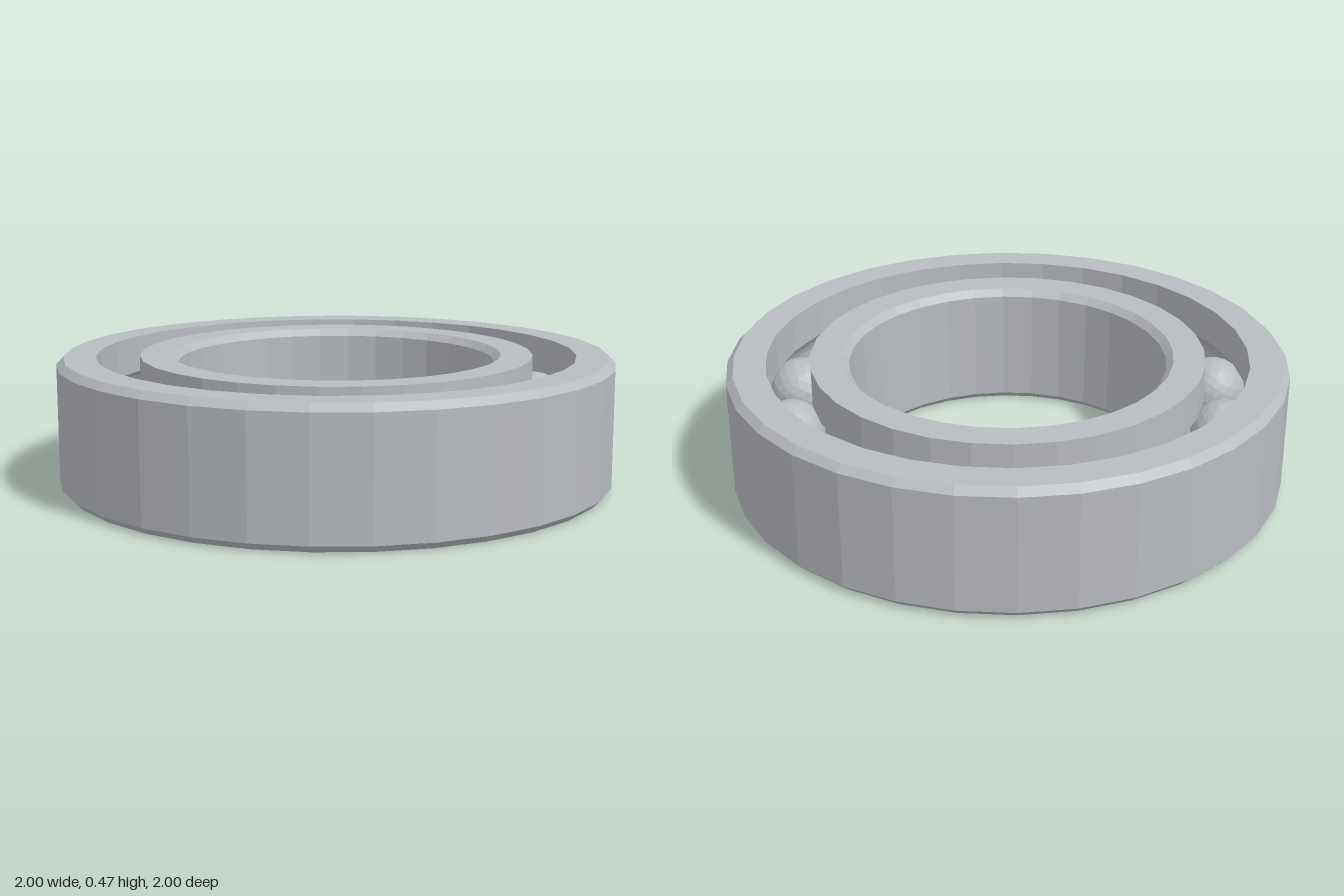
import * as THREE from 'three';

const HEIGHT = 0.467, MID = HEIGHT / 2;
const PITCH = 0.785;   // radius of the circle of ball centres
const BALL = 0.12, BALLS = 14, SEGMENTS = 32;
const CHAMFER = 0.025;

// Points of the raceway groove; side is +1 for the outer ring, -1 for the inner
function groove(wallRadius, side) {
  const r = BALL + 0.002;
  const limit = Math.acos(Math.abs(wallRadius - PITCH) / r);
  const points = [];
  for (let i = 0; i <= 8; i++) {
    const a = limit * (1 - i / 4) * side;
    points.push(new THREE.Vector2(PITCH + side * r * Math.cos(a), MID + r * Math.sin(a)));
  }
  return points;
}

// Closed profile, counter-clockwise with radius to the right and y up
function ring(name, profile, material) {
  const mesh = new THREE.Mesh(new THREE.LatheGeometry([...profile, profile[0]], SEGMENTS), material);
  mesh.name = name;
  return mesh;
}

export function createModel() {
  const model = new THREE.Group();
  model.name = 'ballBearing';
  const steel = new THREE.MeshStandardMaterial({ color: 0xb8bbc0, flatShading: true });
  steel.name = 'steel';
  const v = (x, y) => new THREE.Vector2(x, y);

  // Outer ring: chamfered outside, grooved inside
  const outerWall = 0.86;
  model.add(ring('outerRing', [
    v(outerWall, 0), v(1 - CHAMFER, 0), v(1, CHAMFER),
    v(1, HEIGHT - CHAMFER), v(1 - CHAMFER, HEIGHT), v(outerWall, HEIGHT),
    ...groove(outerWall, 1),
  ], steel));

  // Inner ring: chamfered bore, grooved outside
  const innerWall = 0.705, bore = 0.567;
  model.add(ring('innerRing', [
    v(innerWall, 0), ...groove(innerWall, -1), v(innerWall, HEIGHT),
    v(bore + CHAMFER, HEIGHT), v(bore, HEIGHT - CHAMFER),
    v(bore, CHAMFER), v(bore + CHAMFER, 0),
  ], steel));

  // Balls evenly spaced in the raceway
  const balls = new THREE.Group();
  balls.name = 'balls';
  const ballGeometry = new THREE.IcosahedronGeometry(BALL, 3);
  for (let i = 0; i < BALLS; i++) {
    const a = (i / BALLS) * Math.PI * 2;
    const ball = new THREE.Mesh(ballGeometry, steel);
    ball.name = 'ball';
    ball.position.set(PITCH * Math.cos(a), MID, PITCH * Math.sin(a));
    ball.rotation.y = -a;
    balls.add(ball);
  }
  model.add(balls);
  return model;
}
